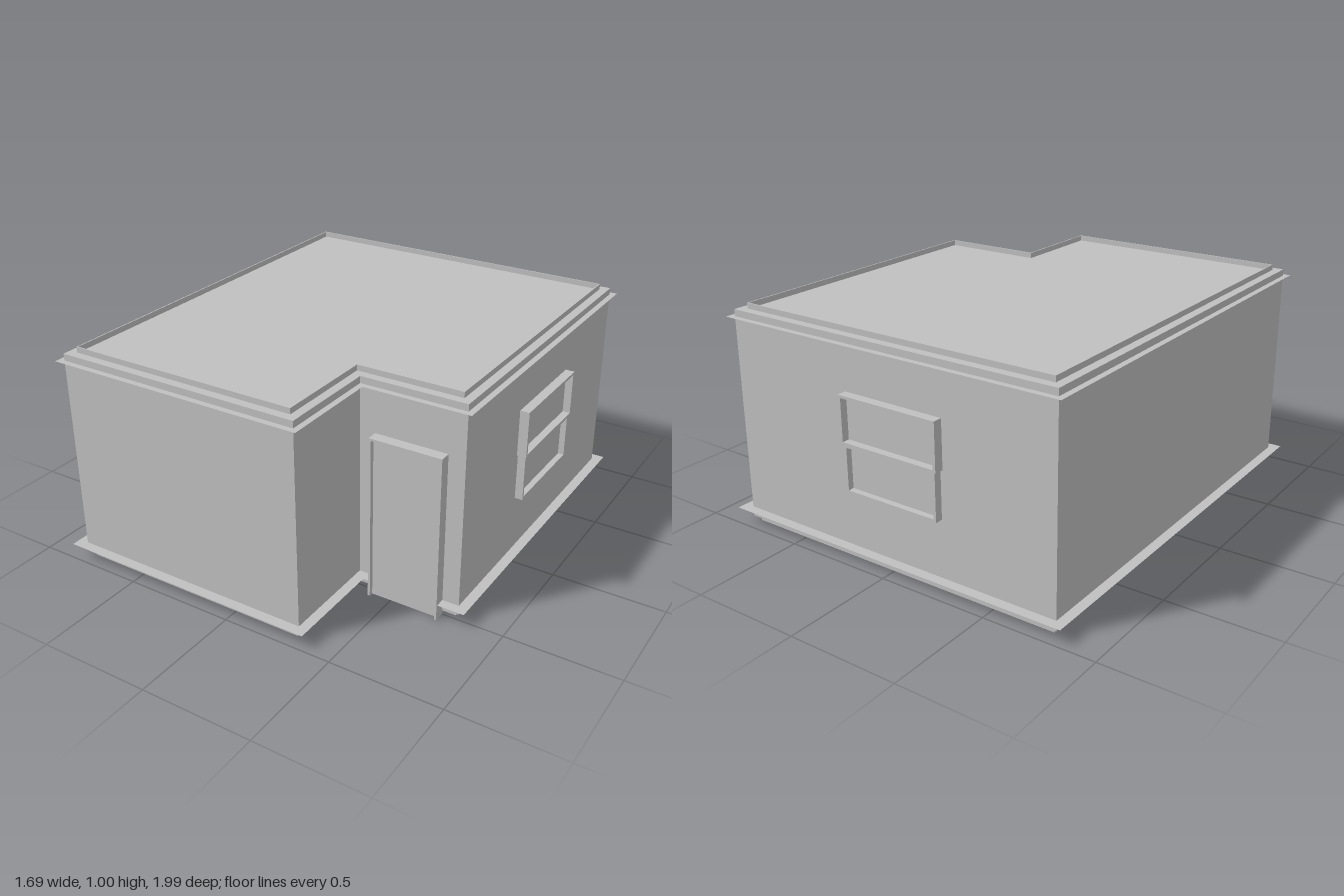
import * as THREE from 'three';

const plaster = new THREE.MeshStandardMaterial({ color: 0xc0c0c0, side: THREE.DoubleSide });
plaster.name = 'grey plaster';

// L-shaped plan: x, z and the outward direction of each corner
const corners = [
  [-0.8, 0.953, -1, 1], [0.33, 0.953, 1, 1], [0.33, 0.5, 1, 1],
  [0.8, 0.5, 1, 1], [0.8, -0.95, 1, -1], [-0.8, -0.95, -1, -1],
];
const door = { left: 0.725, right: 0.4, top: 0.745, back: 0.495, front: 0.55 };

// Plan outline moved outwards by d, optionally cut away at the door
function outline(d, cutDoor = false) {
  const pts = corners.map(([x, z, sx, sz]) => [x + sx * d, z + sz * d]);
  if (cutDoor) {
    const z = pts[2][1];
    pts.splice(3, 0, [door.right, z], [door.right, door.back - 0.01],
      [door.left, door.back - 0.01], [door.left, z]);
  }
  return pts.map(([x, z]) => new THREE.Vector2(x, -z));
}

function add(parent, name, geometry) {
  const mesh = new THREE.Mesh(geometry, plaster);
  mesh.name = name;
  parent.add(mesh);
  return mesh;
}

function prism(parent, name, d, y0, y1, thickness = 0) {
  const shape = new THREE.Shape(outline(d));
  if (thickness) shape.holes.push(new THREE.Path(outline(d - thickness)));
  const g = new THREE.ExtrudeGeometry(shape, { depth: y1 - y0, bevelEnabled: false });
  add(parent, name, g.rotateX(-Math.PI / 2).translate(0, y0, 0));
}

function ledge(parent, name, d, y, cutDoor) {
  const g = new THREE.ShapeGeometry(new THREE.Shape(outline(d, cutDoor)));
  add(parent, name, g.rotateX(-Math.PI / 2).translate(0, y, 0));
}

function box(parent, name, x0, x1, y0, y1, z0, z1) {
  const g = new THREE.BoxGeometry(x1 - x0, y1 - y0, z1 - z0);
  add(parent, name, g.translate((x0 + x1) / 2, (y0 + y1) / 2, (z0 + z1) / 2));
}

// One sash, facing +z and standing on z = 0
function sash(parent, name, half, y0, y1, depth) {
  const t = 0.012;
  for (const s of [-1, 1]) {
    const a = s * half, b = s * (half - t);
    box(parent, name + 'Stile', Math.min(a, b), Math.max(a, b), y0, y1, 0, depth);
  }
  for (const y of [y0, y1 - t]) box(parent, name + 'Rail', -half + t, half - t, y, y + t, 0, depth);
  box(parent, name + 'Pane', -half + t, half - t, y0 + t, y1 - t, 0, 0.008);
}

function makeWindow(name) {
  const w = new THREE.Group();
  w.name = name;
  sash(w, 'lowerSash', 0.23, 0.325, 0.535, 0.035);
  sash(w, 'upperSash', 0.24, 0.535, 0.745, 0.042);
  return w;
}

export function createModel() {
  const house = new THREE.Group();
  house.name = 'house';

  // Stacked body: plinth, walls and roof rim
  prism(house, 'plinth', -0.022, 0, 0.025);
  prism(house, 'walls', 0, 0.025, 0.975);
  prism(house, 'roofRim', -0.038, 0.975, 1, 0.005);

  // Flat ledges running round the walls
  ledge(house, 'baseLedge', 0.045, 0.07, true);
  ledge(house, 'corniceLedge', 0.026, 0.945, false);

  // Door with a shallow frame, in the recessed corner
  const doorGroup = new THREE.Group();
  doorGroup.name = 'door';
  house.add(doorGroup);
  const { left, right, top, back, front } = door, t = 0.01;
  box(doorGroup, 'doorJambRight', right, right + t, 0, top, back, front);
  box(doorGroup, 'doorJambLeft', left - t, left, 0, top, back, front);
  box(doorGroup, 'doorHead', right + t, left - t, top - t, top, back, front);
  box(doorGroup, 'doorPanel', right + t, left - t, 0, top - t, back - 0.02, 0.53);

  // Two-sash windows on the side and back walls
  const sideWindow = makeWindow('sideWindow');
  sideWindow.position.set(0.8, 0, -0.225);
  sideWindow.rotation.y = Math.PI / 2;
  const backWindow = makeWindow('backWindow');
  backWindow.position.set(-0.045, 0, -0.95);
  backWindow.rotation.y = Math.PI;
  house.add(sideWindow, backWindow);
  return house;
}
